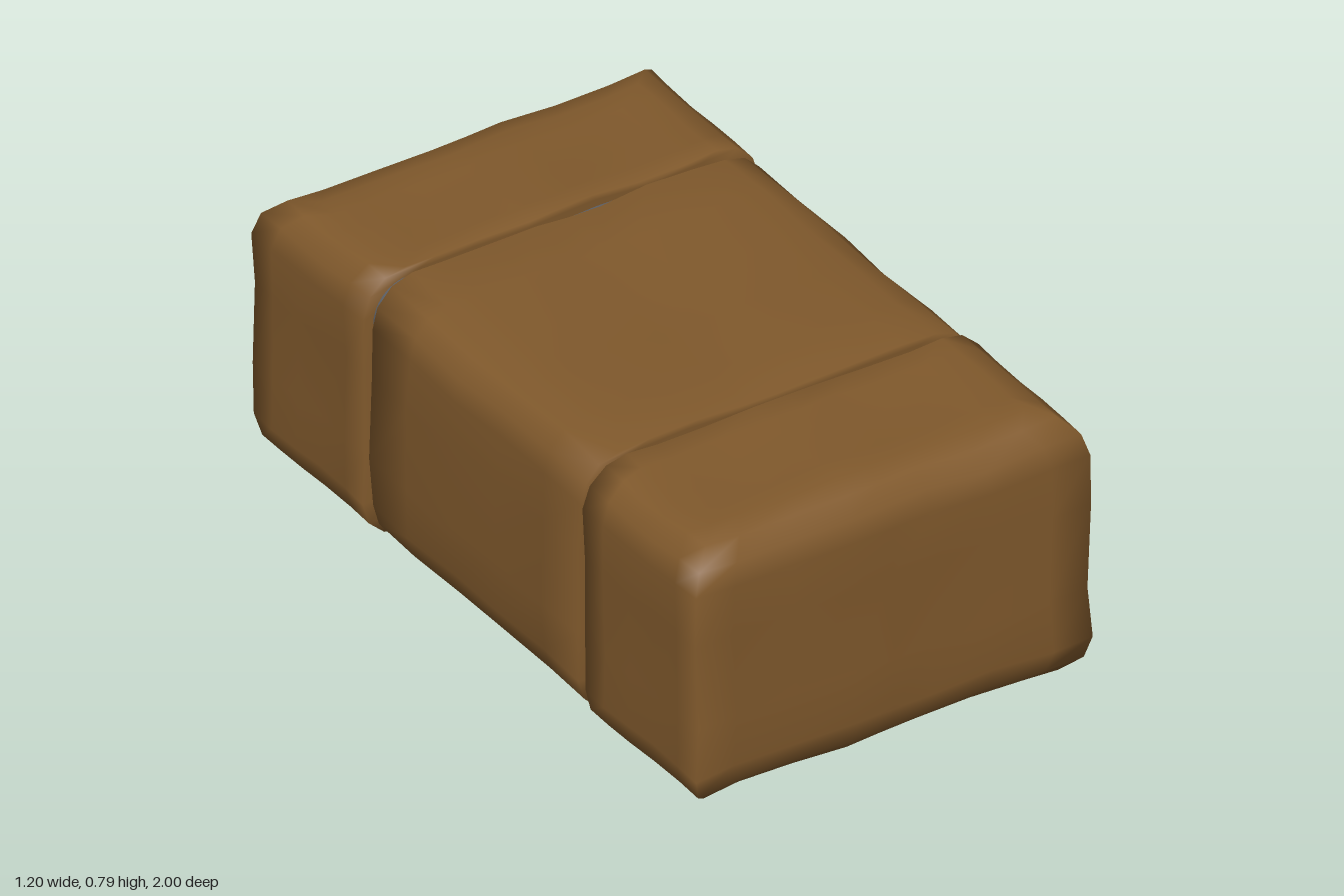
import * as THREE from 'three';
import { mergeVertices } from 'three/addons/utils/BufferGeometryUtils.js';

const HALF_X = 0.588, HALF_Y = 0.385, MID_Y = 0.4, R = 0.12;

// Gentle, repeatable lumpiness
const wobble = (a, b, c) => 0.005 * Math.sin(a * 11 + c) + 0.004 * Math.sin(b * 9 + c * 2.3) + 0.003 * Math.sin((a + b) * 17 + c);

// Soft block from z0 to z1; the long edges are rounded, and roundBack/roundFront round an end too
function softBlock(z0, z1, roundBack, roundFront, seed) {
  const xs = [-1, -0.8, -0.5, -0.2, 0, 0.2, 0.5, 0.8, 1];
  const zs = [0, 0.18, 0.4, 0.6, 0.82, 1];
  // Height levels as [y, inset]
  const upper = [[0.12, 0], [HALF_Y - R, 0]];
  for (let i = 1; i <= 3; i++) {
    const a = (i * Math.PI) / 6;
    upper.push([HALF_Y - R + R * Math.sin(a), R * (1 - Math.cos(a))]);
  }
  const levels = [...upper.map(([y, d]) => [-y, d]).reverse(), ...upper];
  const ny = levels.length - 1;

  let g = new THREE.BoxGeometry(1, 1, 1, xs.length - 1, ny, zs.length - 1);
  g.deleteAttribute('normal');
  g.deleteAttribute('uv');
  const p = g.attributes.position;
  for (let i = 0; i < p.count; i++) {
    const ix = Math.round((p.getX(i) + 0.5) * (xs.length - 1));
    const iy = Math.round((p.getY(i) + 0.5) * ny);
    const iz = Math.round((p.getZ(i) + 0.5) * (zs.length - 1));
    const [ly, inset] = levels[iy];
    const back = z0 + (roundBack ? inset : 0), front = z1 - (roundFront ? inset : 0);
    const x = xs[ix] * (HALF_X - inset);
    const y = MID_Y + ly;
    const z = back + (front - back) * zs[iz];
    const outer = (roundBack && iz === 0) || (roundFront && iz === zs.length - 1);
    p.setXYZ(i,
      x + wobble(y, z, seed) * xs[ix],
      y + wobble(x, z, seed + 1) * (ly / HALF_Y),
      z + wobble(x, y, seed + 2) * (outer ? 0.8 : 0.6));
  }
  g = mergeVertices(g, 1e-5);
  g.computeVertexNormals();
  return g;
}

// Rounded upright rectangle swept along z
function strapGeometry(hx, hy, r, depth) {
  const s = new THREE.Shape();
  s.absarc(hx - r, hy - r, r, 0, Math.PI / 2);
  s.absarc(-hx + r, hy - r, r, Math.PI / 2, Math.PI);
  s.absarc(-hx + r, -hy + r, r, Math.PI, Math.PI * 1.5);
  s.absarc(hx - r, -hy + r, r, Math.PI * 1.5, Math.PI * 2);
  s.closePath();
  return new THREE.ExtrudeGeometry(s, { depth, bevelEnabled: false, curveSegments: 6 }).translate(0, 0, -depth / 2);
}

export function createModel() {
  const group = new THREE.Group();
  const brown = new THREE.MeshStandardMaterial({ color: 0x80592c });
  brown.name = 'brown wrapping';
  const grey = new THREE.MeshStandardMaterial({ color: 0x5b5f66 });
  grey.name = 'grey strap';

  const add = (name, geometry, material) => {
    const m = new THREE.Mesh(geometry, material);
    m.name = name;
    group.add(m);
    return m;
  };

  // Three bulging sections of the bundle
  add('frontSection', softBlock(0.497, 0.99, false, true, 1), brown);
  add('middleSection', softBlock(-0.47, 0.47, false, false, 4), brown);
  add('backSection', softBlock(-0.99, -0.502, true, false, 7), brown);

  // Straps sunk into the grooves
  for (const [name, z] of [['frontStrap', 0.485], ['backStrap', -0.485]]) {
    add(name, strapGeometry(0.558, 0.357, 0.1, 0.06), grey).position.set(0, MID_Y, z);
  }
  return group;
}
